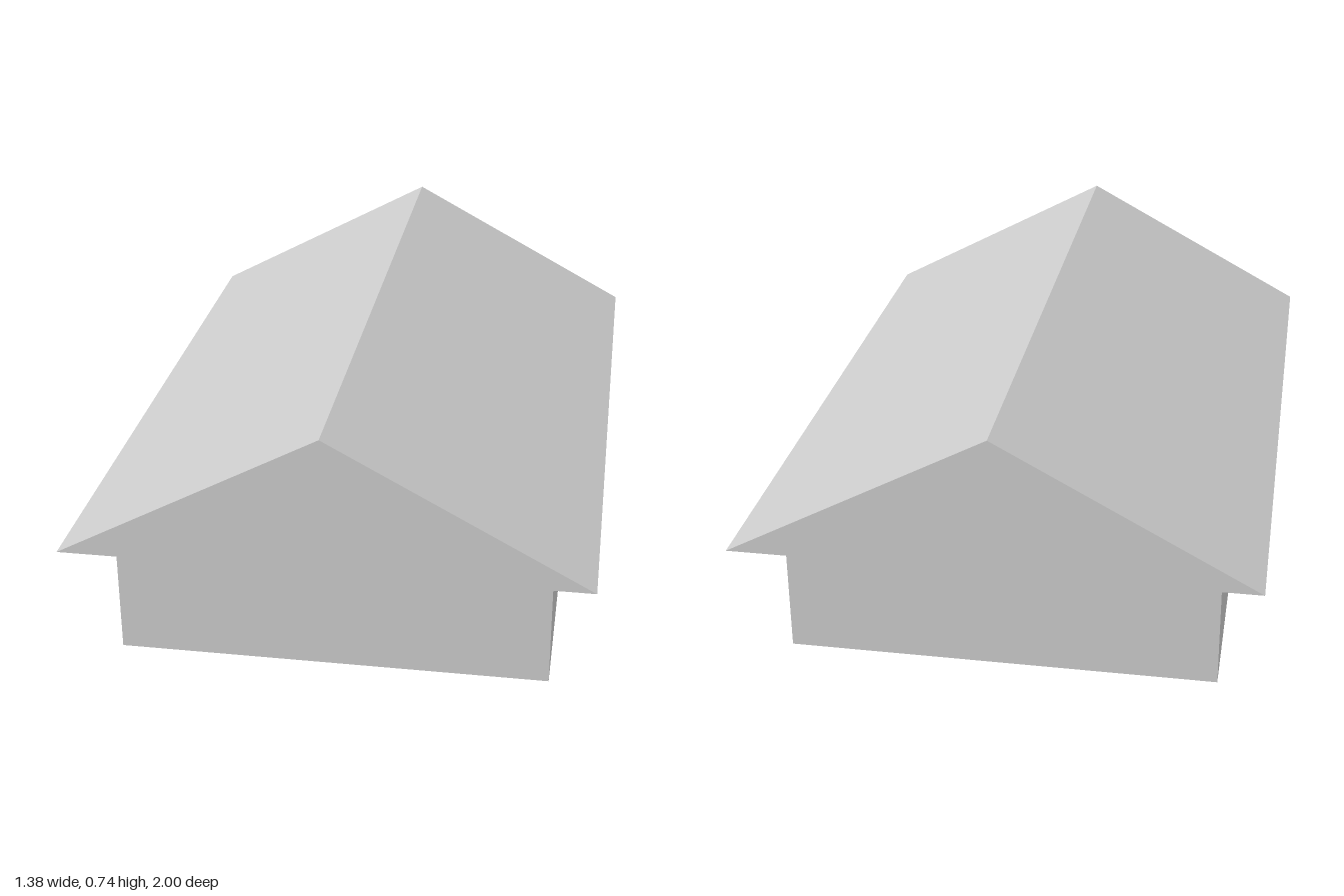
import * as THREE from 'three';

export function createModel() {
  const model = new THREE.Group();
  model.name = 'house';
  const grey = new THREE.MeshStandardMaterial({ color: 0xcccccc });
  grey.name = 'light grey';

  const eaveY = 0.365, ridgeY = 0.738, roofHalfWidth = 0.692, roofLength = 2;

  // Walls: a plain block
  const walls = new THREE.Mesh(new THREE.BoxGeometry(1.16, eaveY, 1.72), grey);
  walls.name = 'walls';
  walls.position.y = eaveY / 2;
  model.add(walls);

  // Gable roof: a solid triangular prism overhanging all four walls
  const gable = new THREE.Shape();
  gable.moveTo(-roofHalfWidth, eaveY);
  gable.lineTo(roofHalfWidth, eaveY);
  gable.lineTo(0, ridgeY);
  gable.closePath();
  const roofGeometry = new THREE.ExtrudeGeometry(gable, { depth: roofLength, bevelEnabled: false });
  roofGeometry.translate(0, 0, -roofLength / 2);
  const roof = new THREE.Mesh(roofGeometry, grey);
  roof.name = 'roof';
  model.add(roof);

  return model;
}
